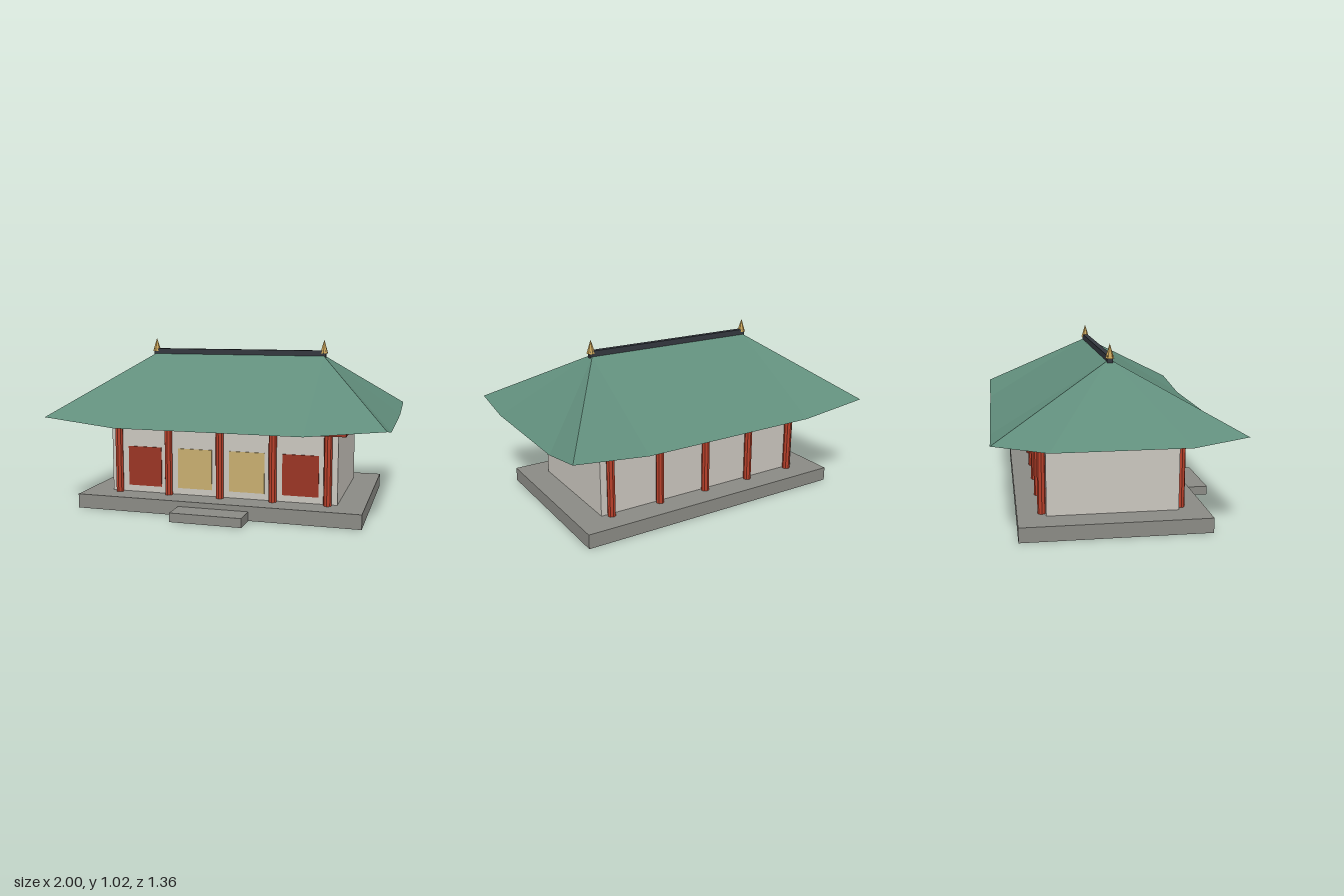
import * as THREE from 'three';

const mat = (name, color, opts = {}) => {
  const m = new THREE.MeshStandardMaterial({ color, ...opts });
  m.name = name;
  return m;
};

export function createModel() {
  const stone = mat('stone', 0x8b8b85);
  const plaster = mat('plaster', 0xcbc7bf);
  const columnRed = mat('columnRed', 0xb8402a, { flatShading: true });
  const darkRed = mat('darkRed', 0x9a3524);
  const paper = mat('paper', 0xc9af70);
  const tile = mat('roofTile', 0x618e7c, { flatShading: true, side: THREE.DoubleSide });
  const slate = mat('ridgeSlate', 0x34383f);
  const gold = mat('gold', 0xc9a45a, { flatShading: true });

  const model = new THREE.Group();
  const hall = new THREE.Group();
  hall.name = 'hall';
  hall.position.z = -0.004;
  model.add(hall);

  const add = (name, geometry, material, x, y, z) => {
    const mesh = new THREE.Mesh(geometry, material);
    mesh.name = name;
    mesh.position.set(x, y, z);
    hall.add(mesh);
    return mesh;
  };
  // Box placed by the height of its underside
  const box = (name, w, h, d, material, x, y0, z) =>
    add(name, new THREE.BoxGeometry(w, h, d), material, x, y0 + h / 2, z);

  // Platform, step, walls and the beam under the eaves
  box('platform', 1.73, 0.086, 1.08, stone, 0, 0, 0);
  box('step', 0.43, 0.054, 0.147, stone, 0, 0, 0.6135);
  box('walls', 1.41, 0.414, 0.756, plaster, 0, 0.086, 0);
  box('eaveBeam', 1.51, 0.03, 0.864, darkRed, 0, 0.496, 0);

  // Columns along the front and back
  const columnGeo = new THREE.CylinderGeometry(0.024, 0.024, 0.412, 8);
  for (const z of [-0.4, 0.4])
    for (let i = -2; i <= 2; i++) add('column', columnGeo, columnRed, i * 0.325, 0.292, z);

  // Front doors at the ends, paper windows in the middle
  [-0.487, -0.163, 0.163, 0.487].forEach((x, i) => {
    const door = i === 0 || i === 3;
    box(door ? 'door' : 'window', 0.216, 0.245, 0.008, door ? darkRed : paper, x, 0.126, 0.38);
  });

  // Hipped roof: eave ring with lifted corners, joined to a narrow ridge
  const X = 1, Z = 0.674, RX = 0.555, RZ = 0.02, low = 0.527, high = 0.575, top = 0.924;
  const eave = [], ridge = [];
  const quarter = [[1, 1], [1, -1], [-1, -1], [-1, 1]];
  quarter.forEach(([sx, sz], i) => {
    const alongX = [sx * 0.555, low, sz * Z];
    const alongZ = [sx * X, low, sz * 0.378];
    const corner = [sx * X, high, sz * Z];
    eave.push(...(i % 2 ? [alongZ, corner, alongX] : [alongX, corner, alongZ]));
    const r = [sx * RX, top, sz * RZ];
    ridge.push(r, r, r);
  });
  const pos = [];
  const tri = (...p) => p.forEach((v) => pos.push(...v));
  const soffit = (p) => [Math.sign(p[0]) * 0.555, low, 0];
  for (let i = 0; i < 12; i++) {
    const j = (i + 1) % 12;
    tri(eave[i], eave[j], ridge[j]);
    if (ridge[i] !== ridge[j]) tri(eave[i], ridge[j], ridge[i]);
    // Underside of the eaves
    const a = soffit(eave[i]), b = soffit(eave[j]);
    tri(eave[j], eave[i], a);
    if (a[0] !== b[0]) tri(eave[j], a, b);
  }
  tri(ridge[0], ridge[3], ridge[6]);
  tri(ridge[0], ridge[6], ridge[9]);
  const roofGeo = new THREE.BufferGeometry();
  roofGeo.setAttribute('position', new THREE.Float32BufferAttribute(pos, 3));
  roofGeo.computeVertexNormals();
  add('roof', roofGeo, tile, 0, 0, 0);

  // Ridge bar with a finial at each end
  box('ridgeBar', 1.13, 0.042, 0.032, slate, 0, 0.916, 0);
  const finialGeo = new THREE.ConeGeometry(0.026, 0.084, 6);
  for (const s of [-1, 1]) add('finial', finialGeo, gold, s * 0.552, 0.983, 0);

  return model;
}
